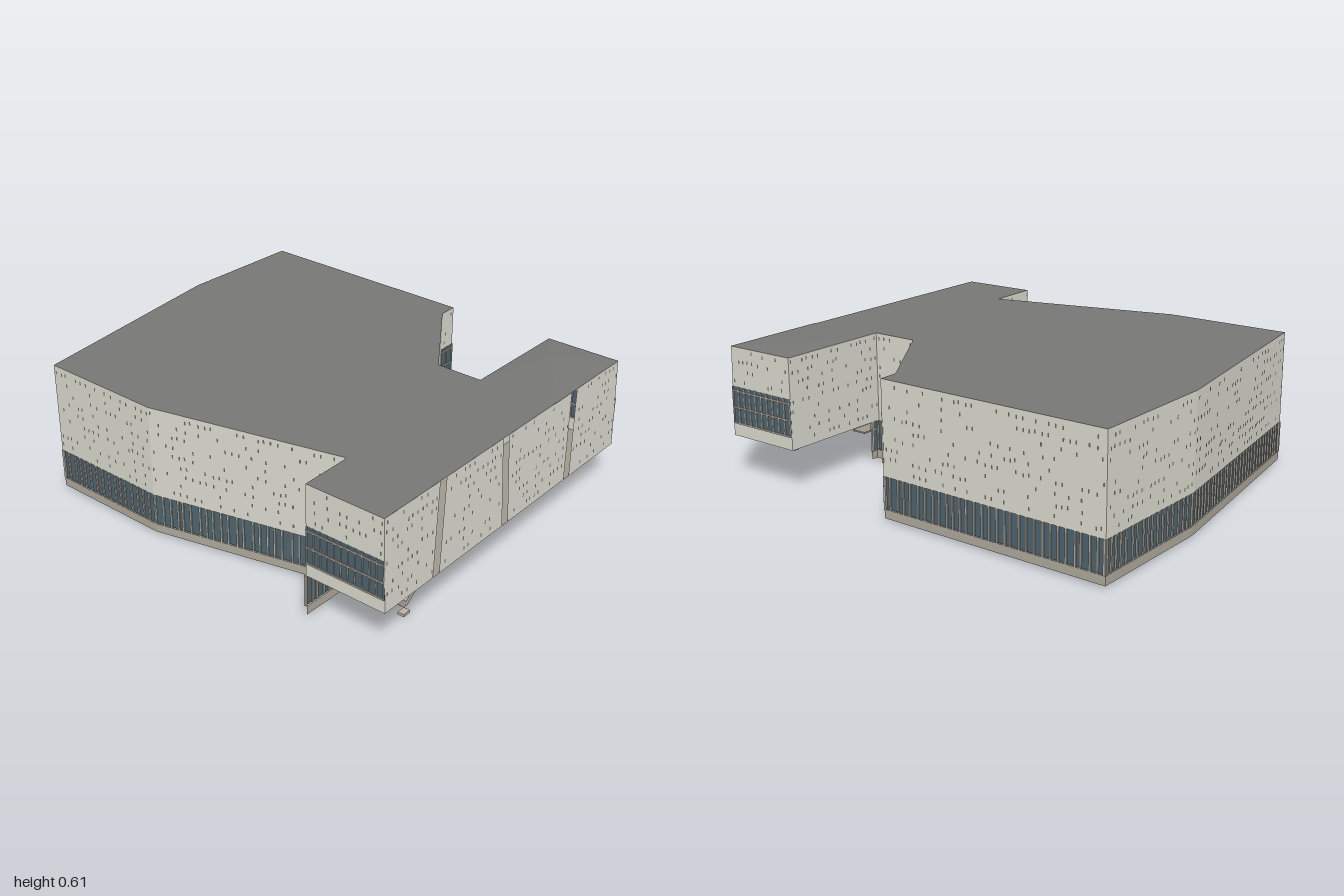
import * as THREE from 'three';
import { mergeGeometries } from 'three/addons/utils/BufferGeometryUtils.js';

const mat = (name, color, side = THREE.FrontSide) => {
  const m = new THREE.MeshStandardMaterial({ color, side });
  m.name = name;
  return m;
};

export function createModel() {
  const M = {
    wall: mat('pale cladding', 0xdcdbd0, THREE.DoubleSide),
    roof: mat('grey roof', 0x777775, THREE.DoubleSide),
    soffit: mat('warm grey soffit', 0x9f988c, THREE.DoubleSide),
    glass: mat('blue glass', 0x4d6470, THREE.DoubleSide),
    trim: mat('beige trim', 0xb8b0a2),
    base: mat('beige plinth', 0xb0a99c, THREE.DoubleSide),
    dot: mat('dark openings', 0x666864),
  };
  const model = new THREE.Group();
  model.name = 'building';
  const add = (name, geo, material) => {
    const mesh = new THREE.Mesh(geo, material);
    mesh.name = name;
    model.add(mesh);
  };
  let seed = 7;
  const rand = () => (seed = (seed * 16807) % 2147483647) / 2147483647;

  // Plan outlines as [x, z]
  const upper = [[-0.98, -0.855], [0.11, -0.825], [0.11, -0.735], [0.405, -0.28], [0.625, -0.275],
    [0.635, -0.815], [0.998, -0.81], [0.975, 0.85], [0.595, 0.845], [0.595, 0.6],
    [-0.28, 0.795], [-0.87, 0.78], [-1, -0.25]];
  // The long wing leans in slightly at the top of its outer face
  const upperTop = upper.map(([x, z]) => [x > 0.9 ? x - 0.012 : x, z]);
  const lower = [[-0.98, -0.855], [0.11, -0.825], [0.11, -0.735], [0.405, -0.28], [0.637, -0.28],
    [0.605, 0.6], [-0.28, 0.795], [-0.87, 0.78], [-1, -0.25]];
  const Y = { floor: 0.01, sill: 0.05, mid: 0.192, bandLow: 0.25, bandHigh: 0.42, top: 0.6 };
  const roofY = (x) => 0.606 - 0.006 * x;

  const triangles = (pts) => {
    const g = new THREE.BufferGeometry().setFromPoints(pts);
    g.computeVertexNormals();
    return g;
  };
  const quad = (a, b, c, d) => triangles([a, b, c, a, c, d]);

  // Flat cap over an outline, facing up or down
  const cap = (outline, height, up) => {
    const flat = outline.map(([x, z]) => new THREE.Vector2(x, z));
    const pts = [];
    for (const f of THREE.ShapeUtils.triangulateShape(flat, [])) {
      const t = f.map((i) => new THREE.Vector3(flat[i].x, height(flat[i].x), flat[i].y));
      const ny = t[1].clone().sub(t[0]).cross(t[2].clone().sub(t[0])).y;
      pts.push(...((ny > 0) === up ? t : t.reverse()));
    }
    return triangles(pts);
  };

  // A wall between two plan points, with an optional leaning top
  const makeWall = (a, b, y0, y1, ta = a, tb = b) => {
    const dx = b[0] - a[0], dz = b[1] - a[1], length = Math.hypot(dx, dz);
    const n = new THREE.Vector3(dz / length, 0, -dx / length);
    const at = (t, y, off = 0) => {
      const k = (y - y0) / (y1 - y0);
      const mix = (i) => THREE.MathUtils.lerp(
        THREE.MathUtils.lerp(a[i], b[i], t), THREE.MathUtils.lerp(ta[i], tb[i], t), k);
      return new THREE.Vector3(mix(0), y, mix(1)).addScaledVector(n, off);
    };
    const panel = (t0, t1, lo, hi, off = 0) =>
      quad(at(t1, lo, off), at(t0, lo, off), at(t0, hi, off), at(t1, hi, off));
    const box = (t, y, w, h, d, off = 0) => {
      const p = at(t, y, off);
      return new THREE.BoxGeometry(w, h, d).rotateY(Math.atan2(n.x, n.z)).translate(p.x, p.y, p.z);
    };
    return { length, at, panel, box };
  };

  // Slanted open slots in the wing's outer face: [z at top, z at bottom], back to front
  const slots = [[-0.445, -0.42], [0.07, 0.055], [0.49, 0.53]];
  const slotHalf = 0.02;
  const zToT = (z) => (z + 0.81) / 1.66;

  // Upper storey: clad walls, scattered small openings, window bands
  const walls = [], dots = [], bands = [], bandBars = [];
  const banded = [1, 5, 7], slotted = 6;
  upper.forEach((a, i) => {
    const j = (i + 1) % upper.length;
    const [ta, tb] = [upperTop[i], upperTop[j]];
    const w = makeWall(a, upper[j], Y.mid, Y.top, ta, tb);
    const top = (p) => new THREE.Vector3(p[0], roofY(p[0]), p[1]);
    const hasBand = banded.includes(i);
    if (i === slotted) {
      // Panels left between the slots, as [top, bottom] positions along the wall
      let start = [0, 0];
      for (const s of [...slots, null]) {
        const end = s ? s.map((z) => zToT(z - slotHalf)) : [1, 1];
        walls.push(quad(w.at(end[1], Y.mid), w.at(start[1], Y.mid),
          w.at(start[0], Y.top), w.at(end[0], Y.top)));
        if (s) start = s.map((z) => zToT(z + slotHalf));
      }
    } else {
      if (hasBand) walls.push(w.panel(0, 1, Y.mid, Y.bandLow));
      const low = hasBand ? Y.bandHigh : Y.mid;
      walls.push(quad(w.at(1, low), w.at(0, low), top(ta), top(tb)));
    }

    const columns = Math.floor(w.length / 0.03);
    for (let r = 0; r < 9; r++) {
      for (let c = 0; c < columns; c++) {
        const pick = rand(), shift = rand() - 0.5;
        const y = 0.228 + r * 0.044 + shift * 0.008;
        const t = (c + 0.5 + shift * 0.4) / columns, half = 0.0035 / w.length;
        const k = (y - Y.mid) / (Y.top - Y.mid);
        const inSlot = i === slotted && slots.some(([zt, zb]) =>
          Math.abs(t - zToT(THREE.MathUtils.lerp(zb, zt, k))) < 0.018);
        if (pick > 0.45 || inSlot || (hasBand && y < 0.44)) continue;
        dots.push(w.panel(t - half, t + half, y - 0.008, y + 0.008, 0.002));
      }
    }
    if (!hasBand) return;
    bands.push(w.panel(0, 1, Y.bandLow, Y.bandHigh));
    const bars = Math.max(2, Math.round(w.length / 0.036));
    for (let c = 0; c <= bars; c++) {
      bandBars.push(w.box(0.01 + 0.98 * c / bars, 0.335, 0.005, 0.17, 0.008));
    }
    for (const y of [0.253, 0.325, 0.4]) bandBars.push(w.box(0.5, y, w.length * 0.98, 0.007, 0.009));
  });
  add('upperWalls', mergeGeometries(walls), M.wall);
  add('wallOpenings', mergeGeometries(dots), M.dot);
  add('windowBands', mergeGeometries(bands), M.glass);
  add('windowBandBars', mergeGeometries(bandBars), M.trim);
  add('roof', cap(upperTop, roofY, true), M.roof);
  add('soffit', cap(upper, () => Y.mid, false), M.soffit);

  // Low hipped rise on the rear of the wing roof
  const rim = [[0.635, -0.815], [0.985, -0.81], [0.982, -0.3], [0.625, -0.275]]
    .map(([x, z]) => new THREE.Vector3(x, roofY(x) + 0.001, z));
  const peak = new THREE.Vector3(0.74, 0.613, -0.65);
  add('roofRise', triangles(rim.flatMap((p, i) => [p, peak, rim[(i + 1) % 4]])), M.roof);

  // Ground storey: glazing with mullions above a plinth, plus free wall ends under the wing
  const glass = [], mullions = [], plinth = [];
  const runs = lower.map((a, i) => [a, lower[(i + 1) % lower.length]]);
  runs.push([[0.605, 0.6], [0.597, 0.845]], [[0.638, -0.315], [0.637, -0.28]]);
  for (const [a, b] of runs) {
    const w = makeWall(a, b, Y.floor, Y.mid);
    plinth.push(w.panel(0, 1, Y.floor, Y.sill));
    glass.push(w.panel(0, 1, Y.sill, Y.mid, -0.006));
    const count = Math.max(1, Math.round(w.length / 0.036));
    for (let c = 0; c <= count; c++) {
      const t = (c + (c && c < count ? (rand() - 0.5) * 0.4 : 0)) / count;
      mullions.push(w.box(t, (Y.sill + Y.mid) / 2, 0.008, Y.mid - Y.sill, 0.01, -0.005));
    }
  }
  add('groundGlazing', mergeGeometries(glass), M.glass);
  add('mullions', mergeGeometries(mullions), M.trim);
  add('plinth', mergeGeometries(plinth), M.base);
  add('floorSlab', cap(lower, () => Y.floor, false), M.roof);

  // V-shaped columns carrying the wing
  const beam = (p, q) => {
    const dir = q.clone().sub(p);
    const g = new THREE.BoxGeometry(0.026, dir.length(), 0.026);
    g.applyQuaternion(new THREE.Quaternion().setFromUnitVectors(
      new THREE.Vector3(0, 1, 0), dir.clone().normalize()));
    const c = p.clone().add(q).multiplyScalar(0.5);
    return g.translate(c.x, c.y, c.z);
  };
  for (const [z, y, front, back] of [[0.59, 0.045, 0.745, 0.445], [0.005, 0.085, 0.18, -0.165],
    [-0.575, 0.092, -0.39, -0.78]]) {
    const foot = new THREE.Vector3(0.872, y, z);
    const arms = [front, back].map((tz) => beam(foot, new THREE.Vector3(0.89, Y.mid, tz)));
    add('vColumn', mergeGeometries(arms), M.trim);
  }
  add('columnFoot', new THREE.BoxGeometry(0.03, 0.012, 0.04).translate(0.877, 0.006, 0.59), M.trim);

  // Small entrance canopy
  add('canopy', new THREE.BoxGeometry(0.07, 0.007, 0.12).translate(0.665, 0.153, -0.31), M.soffit);
  return model;
}
